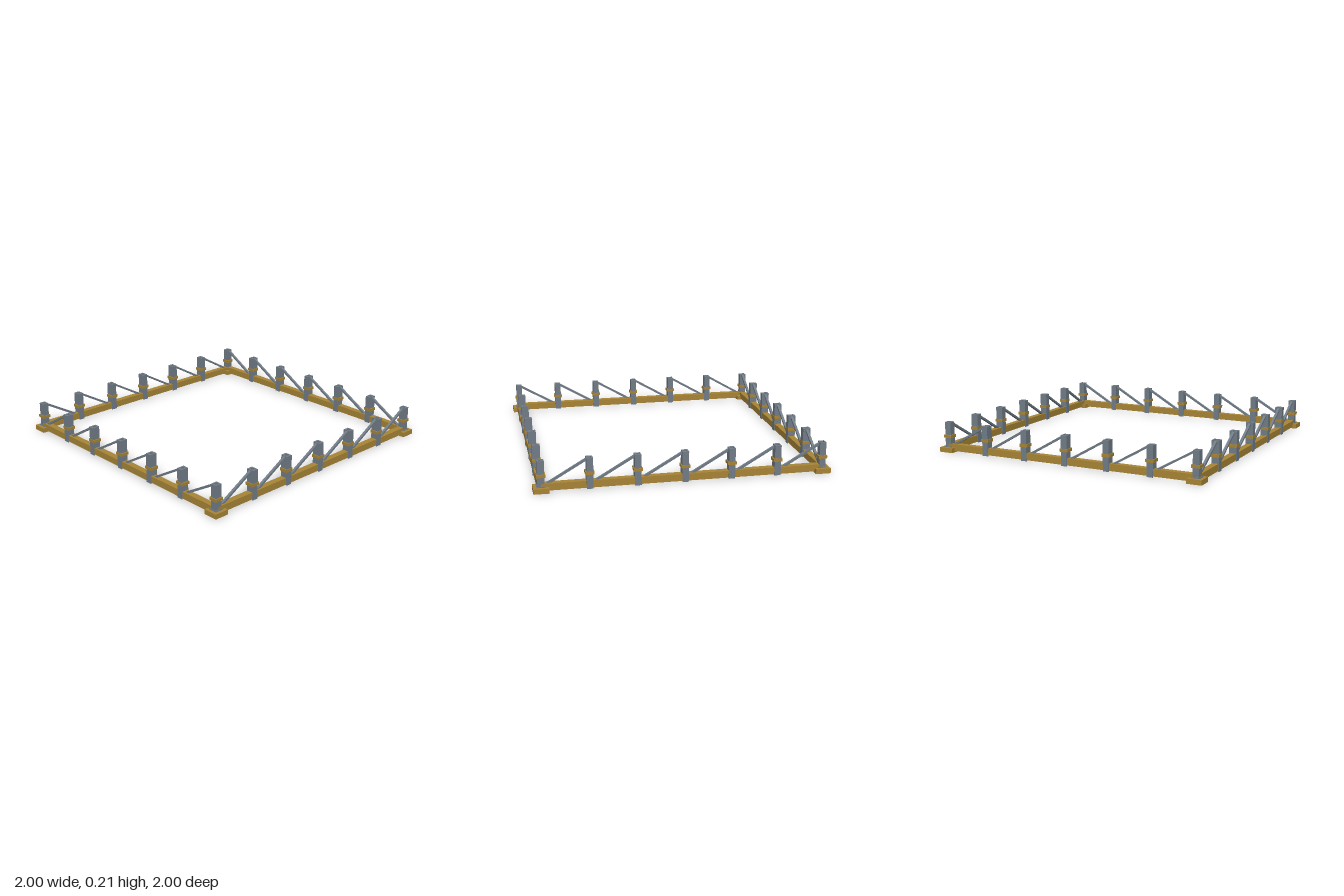
import * as THREE from 'three';

const EDGE = 0.948;          // distance from centre to each rail
const BAYS = 6;
const STEP = (EDGE * 2) / BAYS;

const gold = new THREE.MeshStandardMaterial({ color: 0xa98536 });
gold.name = 'ochre';
const steel = new THREE.MeshStandardMaterial({ color: 0x727d88 });
steel.name = 'steel grey';

function add(parent, name, geometry, material, x, y, z) {
  const mesh = new THREE.Mesh(geometry, material);
  mesh.name = name;
  mesh.position.set(x, y, z);
  parent.add(mesh);
  return mesh;
}

// box spanning y0..y1
function block(parent, name, material, x, z, w, d, y0, y1) {
  return add(parent, name, new THREE.BoxGeometry(w, y1 - y0, d), material, x, (y0 + y1) / 2, z);
}

// square tube standing upright, spanning y0..y1
function squareTube(parent, name, material, x, z, w, d, inner, y0, y1) {
  const rect = (s, a, b) => s.moveTo(-a, -b).lineTo(a, -b).lineTo(a, b).lineTo(-a, b).closePath();
  const shape = rect(new THREE.Shape(), w / 2, d / 2);
  shape.holes.push(rect(new THREE.Path(), inner / 2, inner / 2));
  const geo = new THREE.ExtrudeGeometry(shape, { depth: y1 - y0, bevelEnabled: false });
  geo.rotateX(-Math.PI / 2);
  return add(parent, name, geo, material, x, y0, z);
}

// one edge of the frame, built along the back
function buildSide() {
  const side = new THREE.Group();
  side.name = 'side';
  const z = -EDGE;

  block(side, 'rail', gold, 0, z, EDGE * 2, 0.045, 0.01, 0.058);
  block(side, 'cornerPlate', gold, -EDGE, z, 0.104, 0.104, 0, 0.034);

  for (let i = 0; i < BAYS; i++) {
    const x = -EDGE + i * STEP;
    const corner = i === 0;

    // hollow post with a closed core and a collar
    const post = new THREE.Group();
    post.name = corner ? 'cornerPost' : 'post';
    side.add(post);
    const depth = corner ? 0.047 : 0.054;
    squareTube(post, 'postTube', steel, x, z, 0.044, depth, 0.024, corner ? 0.034 : 0.058, 0.212);
    block(post, 'postCore', steel, x, z, 0.024, 0.024, 0.05, 0.2);
    squareTube(post, 'collar', gold, x, z, 0.06, 0.06, 0.04, 0.1, 0.121);

    // cheeks gripping the rail, or a foot flange at the corner
    if (corner) block(post, 'footFlange', steel, x, z, 0.058, 0.058, 0.034, 0.04);
    else for (const s of [-1, 1]) {
      block(post, 'cheek', steel, x, z + s * 0.0245, 0.044, 0.005, 0.003, 0.058);
    }

    // diagonal brace falling from this post to the rail
    const dx = 0.262, dy = -0.152;
    const brace = add(side, 'brace', new THREE.BoxGeometry(Math.hypot(dx, dy), 0.015, 0.018),
      steel, x + 0.016 + dx / 2, 0.202 + dy / 2, z);
    brace.rotation.z = Math.atan2(dy, dx);
  }
  return side;
}

export function createModel() {
  const model = new THREE.Group();
  model.name = 'squareBarrier';
  const names = ['backSide', 'leftSide', 'frontSide', 'rightSide'];
  names.forEach((name, i) => {
    const side = buildSide();
    side.name = name;
    side.rotation.y = i * Math.PI / 2;
    model.add(side);
  });
  return model;
}
